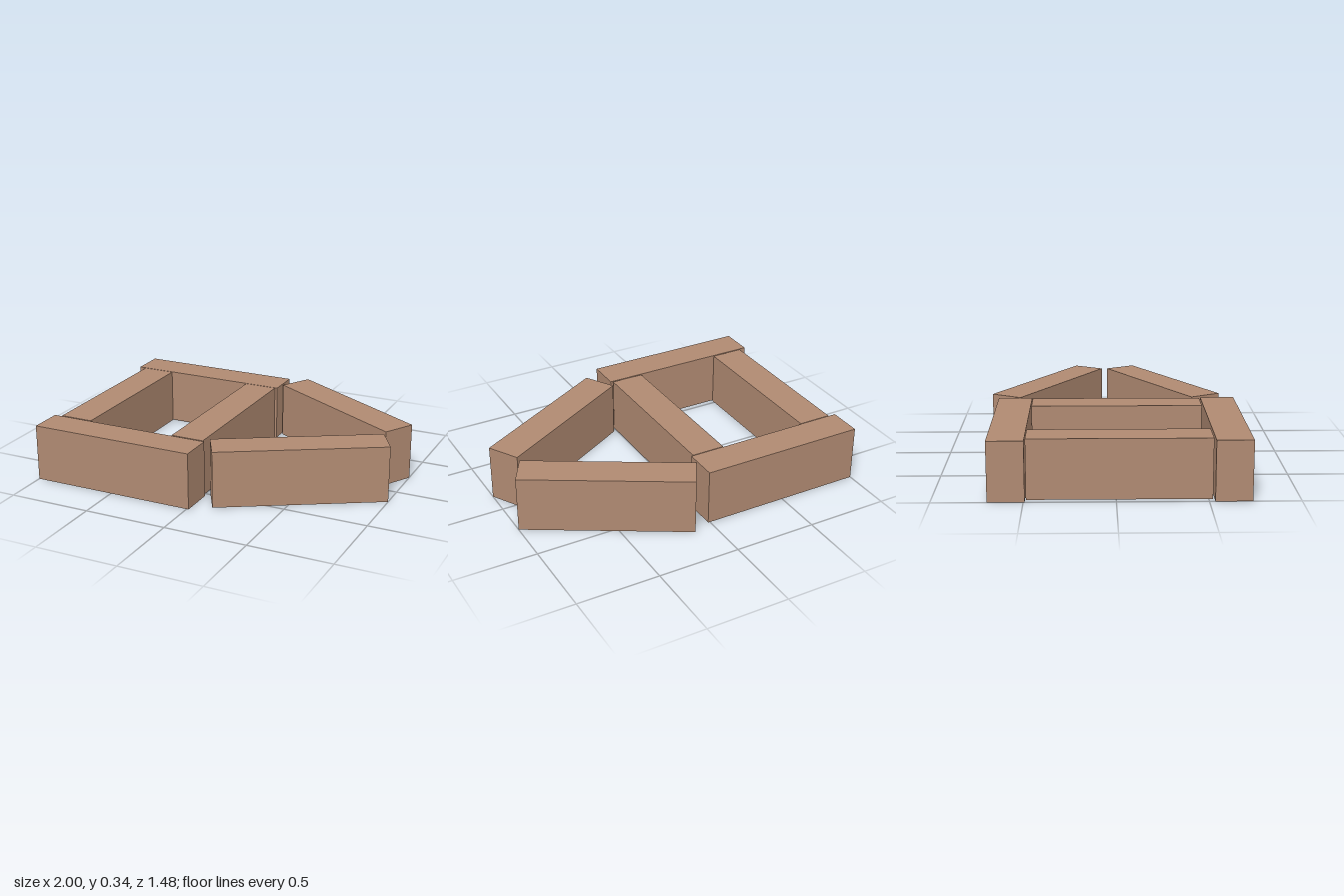
import * as THREE from 'three';

const LENGTH = 1.012, WIDTH = 0.203, HEIGHT = 0.34;

export function createModel() {
  const model = new THREE.Group();
  model.name = 'beamArrangement';
  const wood = new THREE.MeshStandardMaterial({ color: 0xb08a72 });
  const beamGeometry = new THREE.BoxGeometry(LENGTH, HEIGHT, WIDTH);

  // One beam lying on the ground, turned about the vertical axis
  function addBeam(name, x, z, degrees) {
    const beam = new THREE.Mesh(beamGeometry, wood);
    beam.name = name;
    beam.position.set(x, HEIGHT / 2, z);
    beam.rotation.y = THREE.MathUtils.degToRad(degrees);
    model.add(beam);
  }

  // Rectangular frame
  addBeam('backBeam', -0.494, -0.594, 0);
  addBeam('frontBeam', -0.494, 0.634, 0);
  addBeam('outerCrossBeam', -0.854, 0.018, 90);
  addBeam('innerCrossBeam', -0.103, 0.018, 90);

  // Slanted pair closing to a point
  addBeam('backSlantedBeam', 0.511, -0.401, -30);
  addBeam('frontSlantedBeam', 0.511, 0.316, 30);

  return model;
}
